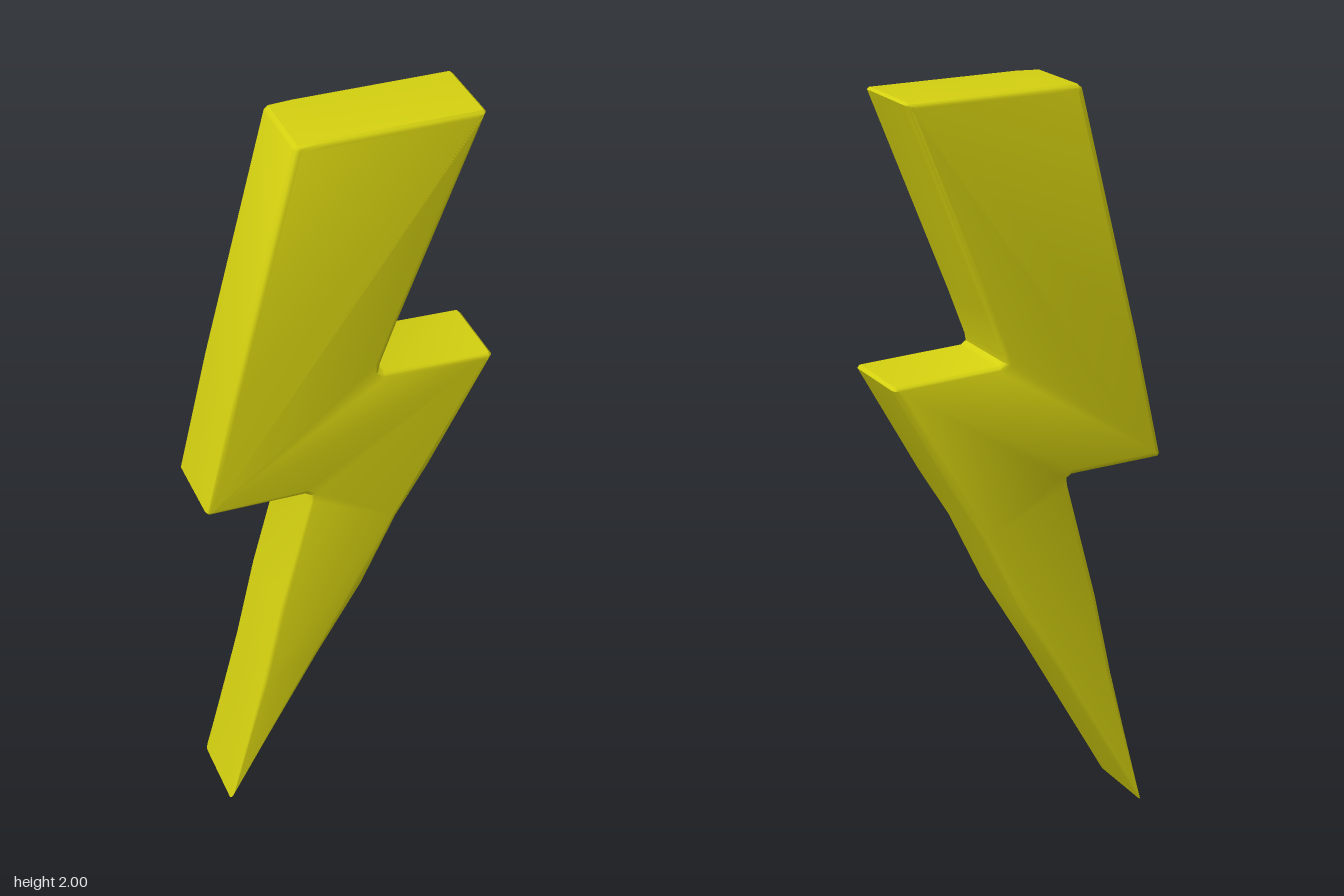
import * as THREE from 'three';
import { toCreasedNormals } from 'three/addons/utils/BufferGeometryUtils.js';

const HALF_DEPTH = 0.112;
const BEVEL = 0.016;
const STEPS = 4;

// Bolt outline, counter-clockwise from the lower tip
const OUTLINE = [
  [-0.345, 0], [-0.09, 0.45], [0.035, 0.66], [0.13, 0.86], [0.215, 1.0], [0.38, 1.3], [0.372, 1.308],
  [0.09, 1.317], [0.077, 1.326], [0.08, 1.345], [0.125, 1.465], [0.337, 1.994], [0.33, 2],
  [-0.07, 2], [-0.13, 1.997], [-0.14, 1.988], [-0.305, 1.34], [-0.382, 1.006], [-0.376, 0.998],
  [-0.12, 0.995], [-0.107, 0.987], [-0.108, 0.97], [-0.195, 0.64], [-0.245, 0.41],
].map(([x, y]) => new THREE.Vector2(x, y));

// Inward mitre direction per corner, limited at the sharp tip
const INWARD = OUTLINE.map((p, i) => {
  const n = OUTLINE.length;
  const normal = (a, b) => new THREE.Vector2(a.y - b.y, b.x - a.x).normalize();
  const n1 = normal(OUTLINE[(i + n - 1) % n], p);
  const n2 = normal(p, OUTLINE[(i + 1) % n]);
  const mitre = n1.clone().add(n2).divideScalar(1 + n1.dot(n2));
  return mitre.clampLength(0, 1.5);
});

const inset = (d) => OUTLINE.map((p, i) => p.clone().addScaledVector(INWARD[i], d));

function boltGeometry() {
  // Rounded edge profile from the back face to the front face
  const profile = [];
  for (let k = 0; k <= STEPS; k++) {
    const a = (k / STEPS) * Math.PI / 2;
    profile.push([BEVEL * (1 - Math.sin(a)), -(HALF_DEPTH - BEVEL) - BEVEL * Math.cos(a)]);
  }
  for (let k = STEPS; k >= 0; k--) profile.push([profile[k][0], -profile[k][1]]);

  const n = OUTLINE.length;
  const positions = [];
  const index = [];
  for (const [d, z] of profile) inset(d).forEach((p) => positions.push(p.x, p.y, z));

  // Side walls and bevels
  for (let j = 0; j < profile.length - 1; j++) {
    for (let i = 0; i < n; i++) {
      const a = j * n + i;
      const b = j * n + (i + 1) % n;
      index.push(a, b, b + n, a, b + n, a + n);
    }
  }

  // Front and back faces
  const last = (profile.length - 1) * n;
  for (const [a, b, c] of THREE.ShapeUtils.triangulateShape(inset(BEVEL), [])) {
    index.push(last + a, last + b, last + c, c, b, a);
  }

  const geometry = new THREE.BufferGeometry();
  geometry.setAttribute('position', new THREE.Float32BufferAttribute(positions, 3));
  geometry.setIndex(index);
  return toCreasedNormals(geometry, 0.6);
}

export function createModel() {
  const group = new THREE.Group();
  group.name = 'lightningBolt';
  const bolt = new THREE.Mesh(boltGeometry(), new THREE.MeshStandardMaterial({ color: 0xd4d010 }));
  bolt.name = 'bolt';
  group.add(bolt);
  return group;
}
